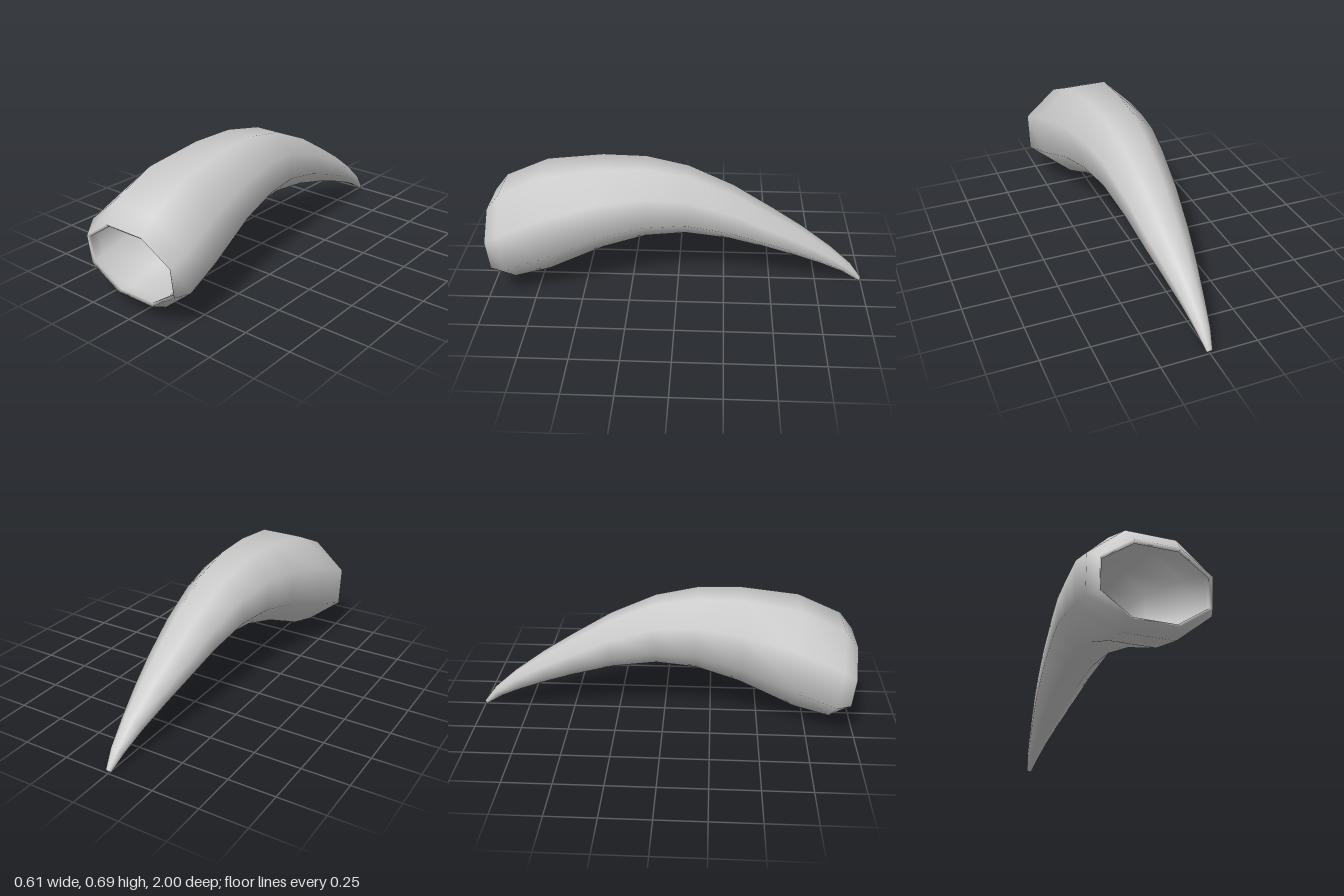
import * as THREE from 'three';

const SIDES = 8;

// Octagonal cross-sections from rim to tip: [top z, top y, bottom z, bottom y, half width]
const SECTIONS = [
  [1.00, 0.458, 0.955, 0.088, 0.27],
  [0.93, 0.545, 0.88, 0.055, 0.303],
  [0.70, 0.65, 0.69, 0.105, 0.28],
  [0.40, 0.693, 0.40, 0.235, 0.23],
  [0.17, 0.693, 0.17, 0.305, 0.2],
  [-0.05, 0.65, -0.04, 0.32, 0.168],
  [-0.29, 0.545, -0.27, 0.285, 0.14],
  [-0.50, 0.42, -0.48, 0.225, 0.112],
  [-0.66, 0.32, -0.64, 0.17, 0.084],
  [-0.82, 0.205, -0.78, 0.115, 0.055],
  [-0.94, 0.10, -0.90, 0.06, 0.033],
  [-1.00, 0.02, -0.99, 0.00, 0.014],
];

// One octagon with flat top, bottom and sides, shrunk by inset and moved back along z
function ring([tz, ty, bz, by, halfWidth], inset = 0, back = 0) {
  const flat = Math.cos(Math.PI / SIDES);
  const shrink = 1 - inset / Math.hypot((tz - bz) / 2, (ty - by) / 2);
  const points = [];
  for (let k = 0; k < SIDES; k++) {
    const a = ((k + 0.5) / SIDES) * Math.PI * 2;
    const v = (Math.sin(a) / flat) * shrink;
    points.push(new THREE.Vector3(
      (Math.cos(a) / flat) * (halfWidth - inset),
      (ty + by) / 2 + (v * (ty - by)) / 2,
      (tz + bz) / 2 + (v * (tz - bz)) / 2 - back
    ));
  }
  return points;
}

function centre(points) {
  return points.reduce((sum, p) => sum.add(p), new THREE.Vector3()).divideScalar(points.length);
}

// Smooth skin through the rings, closed by a fan at each end
function loft(rings) {
  const points = rings.flat();
  const index = [];
  for (let i = 0; i < rings.length - 1; i++) {
    for (let k = 0; k < SIDES; k++) {
      const a = i * SIDES + k;
      const b = i * SIDES + ((k + 1) % SIDES);
      index.push(a, a + SIDES, b, b, a + SIDES, b + SIDES);
    }
  }
  const start = points.push(centre(rings[0])) - 1;
  const end = points.push(centre(rings[rings.length - 1])) - 1;
  const last = (rings.length - 1) * SIDES;
  for (let k = 0; k < SIDES; k++) {
    const n = (k + 1) % SIDES;
    index.push(start, k, n, end, last + n, last + k);
  }
  const geometry = new THREE.BufferGeometry().setFromPoints(points);
  geometry.setIndex(index);
  geometry.computeVertexNormals();
  return geometry;
}

export function createModel() {
  const group = new THREE.Group();
  group.name = 'curvedHorn';

  // Hollow inside from its deep end out to the lip, then the outside back to the tip
  const hollow = SECTIONS.slice(1, 9).reverse().map((s) => ring(s, 0.03));
  const lip = ring(SECTIONS[0], 0.014, 0.012);
  const outside = SECTIONS.map((s) => ring(s));

  const horn = new THREE.Mesh(
    loft([...hollow, lip, ...outside]),
    new THREE.MeshStandardMaterial({ color: 0xcccccc })
  );
  horn.name = 'horn';
  group.add(horn);
  return group;
}
